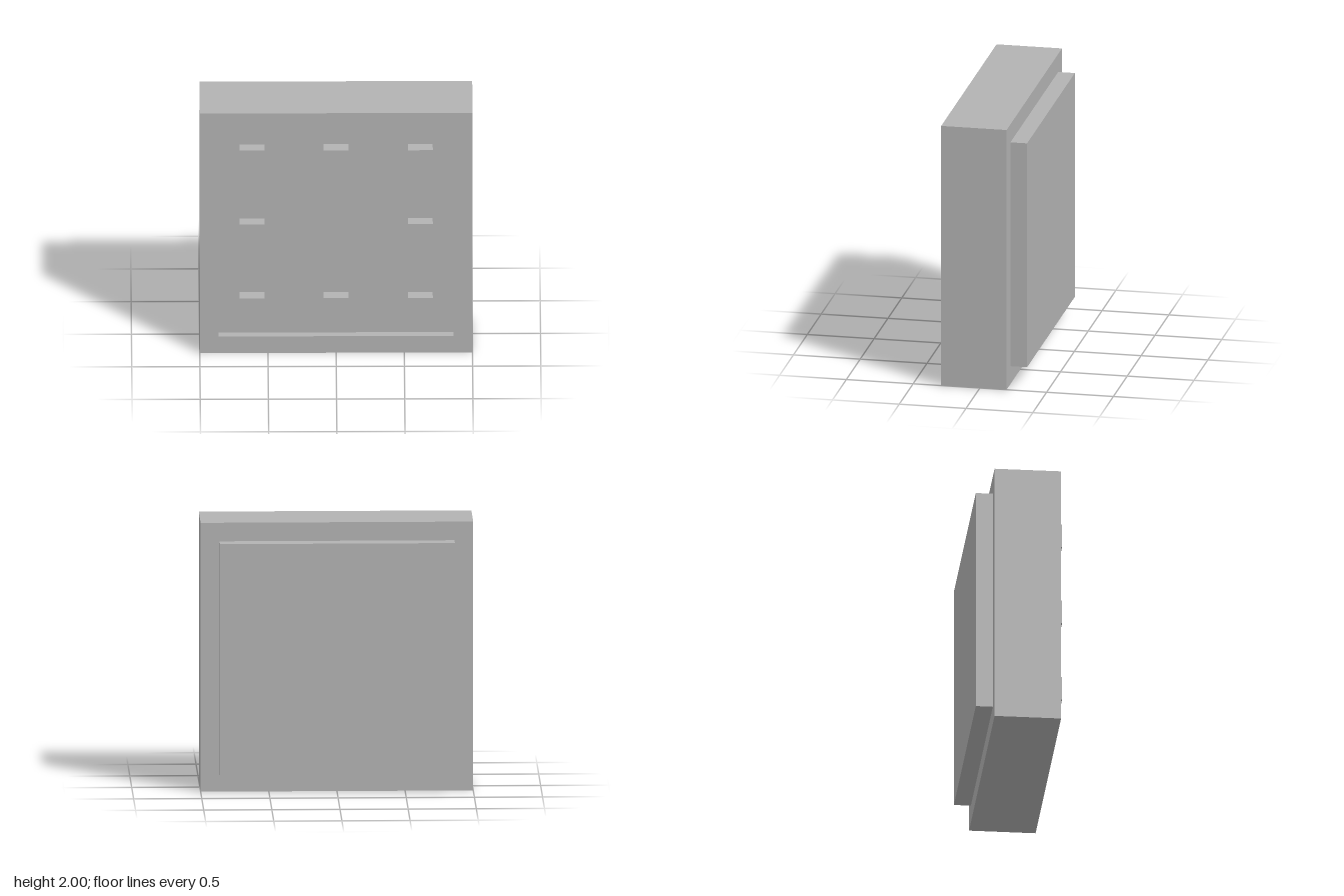
import * as THREE from 'three';

export function createModel() {
  const model = new THREE.Group();
  model.name = 'studdedPanel';
  const grey = new THREE.MeshStandardMaterial({ color: 0xb2b2b2 });
  grey.name = 'grey';

  const FRONT = 0.29, BACK = -0.2;         // frame faces
  const FLOOR = 0.23, PLATE_BACK = -0.325; // inner panel faces
  const STUD_FRONT = 0.325;
  const INNER = 0.862;                     // half size of the inner panel

  const add = (name, geometry, x, y, z) => {
    const mesh = new THREE.Mesh(geometry, grey);
    mesh.name = name;
    mesh.position.set(x, y, z);
    model.add(mesh);
  };

  const square = (Type, h) => new Type([
    new THREE.Vector2(-h, -h), new THREE.Vector2(h, -h),
    new THREE.Vector2(h, h), new THREE.Vector2(-h, h),
  ]);

  // Square outer frame with an opening
  const outline = square(THREE.Shape, 1);
  outline.holes.push(square(THREE.Path, INNER));
  add('frame', new THREE.ExtrudeGeometry(outline, { depth: FRONT - BACK, bevelEnabled: false }), 0, 1, BACK);

  // Inner panel: recessed at the front, raised at the back
  add('innerPanel', new THREE.BoxGeometry(INNER * 2, INNER * 2, FLOOR - PLATE_BACK),
    0, 1, (FLOOR + PLATE_BACK) / 2);

  // Ring of eight studs on the recessed face
  const stud = new THREE.BoxGeometry(0.183, 0.183, STUD_FRONT - FLOOR);
  for (const i of [-1, 0, 1]) {
    for (const j of [-1, 0, 1]) {
      if (i === 0 && j === 0) continue;
      add('stud', stud, i * 0.617, 1 + j * 0.617, (STUD_FRONT + FLOOR) / 2);
    }
  }
  return model;
}
